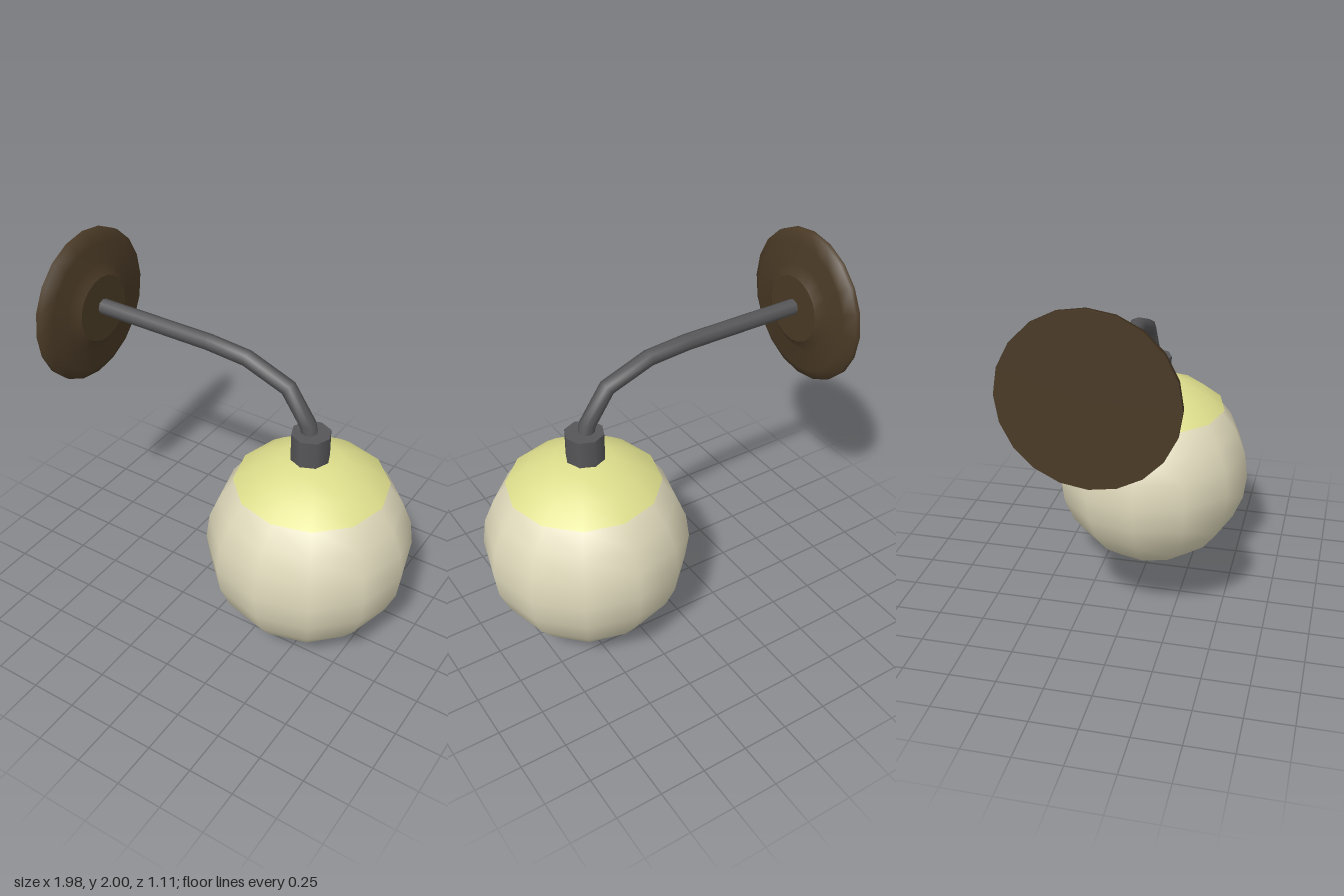
import * as THREE from 'three';

const material = (name, color, side = THREE.FrontSide) => {
  const m = new THREE.MeshStandardMaterial({ color, side });
  m.name = name;
  return m;
};
const v2 = ([x, y]) => new THREE.Vector2(x, y);

// Tube path that keeps the given points as its rings, with averaged tangents at the bends
class BentPath extends THREE.Curve {
  constructor(points) {
    super();
    this.points = points;
  }
  getPoint(t, target = new THREE.Vector3()) {
    const n = this.points.length - 1;
    const i = Math.min(Math.floor(t * n + 1e-6), n - 1);
    return target.lerpVectors(this.points[i], this.points[i + 1], t * n - i);
  }
  getPointAt(t, target) {
    return this.getPoint(t, target);
  }
  getTangentAt(t, target = new THREE.Vector3()) {
    const p = this.points, n = p.length - 1, i = Math.round(t * n);
    target.set(0, 0, 0);
    if (i > 0) target.add(p[i].clone().sub(p[i - 1]).normalize());
    if (i < n) target.add(p[i + 1].clone().sub(p[i]).normalize());
    return target.normalize();
  }
}

export function createModel() {
  const group = new THREE.Group();
  const bronze = material('dark bronze', 0x4a3a26);
  const steel = material('grey metal', 0x565658);
  const glass = material('cream glass', 0xded8ba);
  const yellow = material('pale yellow', 0xdddd8c, THREE.DoubleSide);

  const add = (name, geometry, mat, x, y) => {
    const mesh = new THREE.Mesh(geometry, mat);
    mesh.name = name;
    mesh.position.set(x, y, 0);
    group.add(mesh);
    return mesh;
  };

  // Stepped round wall plate, turned so its axis runs along x
  const plateProfile = [
    [0, 0], [0.425, 0], [0.425, 0], [0.425, 0.028], [0.362, 0.064],
    [0.248, 0.064], [0.186, 0.104], [0.186, 0.104], [0, 0.104],
  ].map(v2);
  const plate = add('wallPlate', new THREE.LatheGeometry(plateProfile, 20), bronze, -0.99, 1.575);
  plate.rotation.z = -Math.PI / 2;

  // Arm that runs out from the wall and bends down
  const armPoints = [
    [-0.9, 1.588], [-0.2, 1.588], [0.03, 1.57], [0.275, 1.478], [0.395, 1.3], [0.415, 1.2],
  ].map(([x, y]) => new THREE.Vector3(x, y, 0));
  add('arm', new THREE.TubeGeometry(new BentPath(armPoints), armPoints.length - 1, 0.044, 8), steel, 0, 0);

  // Socket collar
  add('socket', new THREE.CylinderGeometry(0.105, 0.105, 0.18, 8), steel, 0.415, 1.17);

  // Domed cap with a thin underside lip
  const capProfile = [
    [0.385, 0.95], [0.41, 0.955], [0.41, 0.955], [0.3, 1.042], [0.16, 1.1], [0, 1.118],
  ].map(v2);
  add('cap', new THREE.LatheGeometry(capProfile, 12), yellow, 0.43, 0);

  // Glass globe
  add('globe', new THREE.SphereGeometry(0.555, 12, 12), glass, 0.43, 0.557);

  return group;
}
